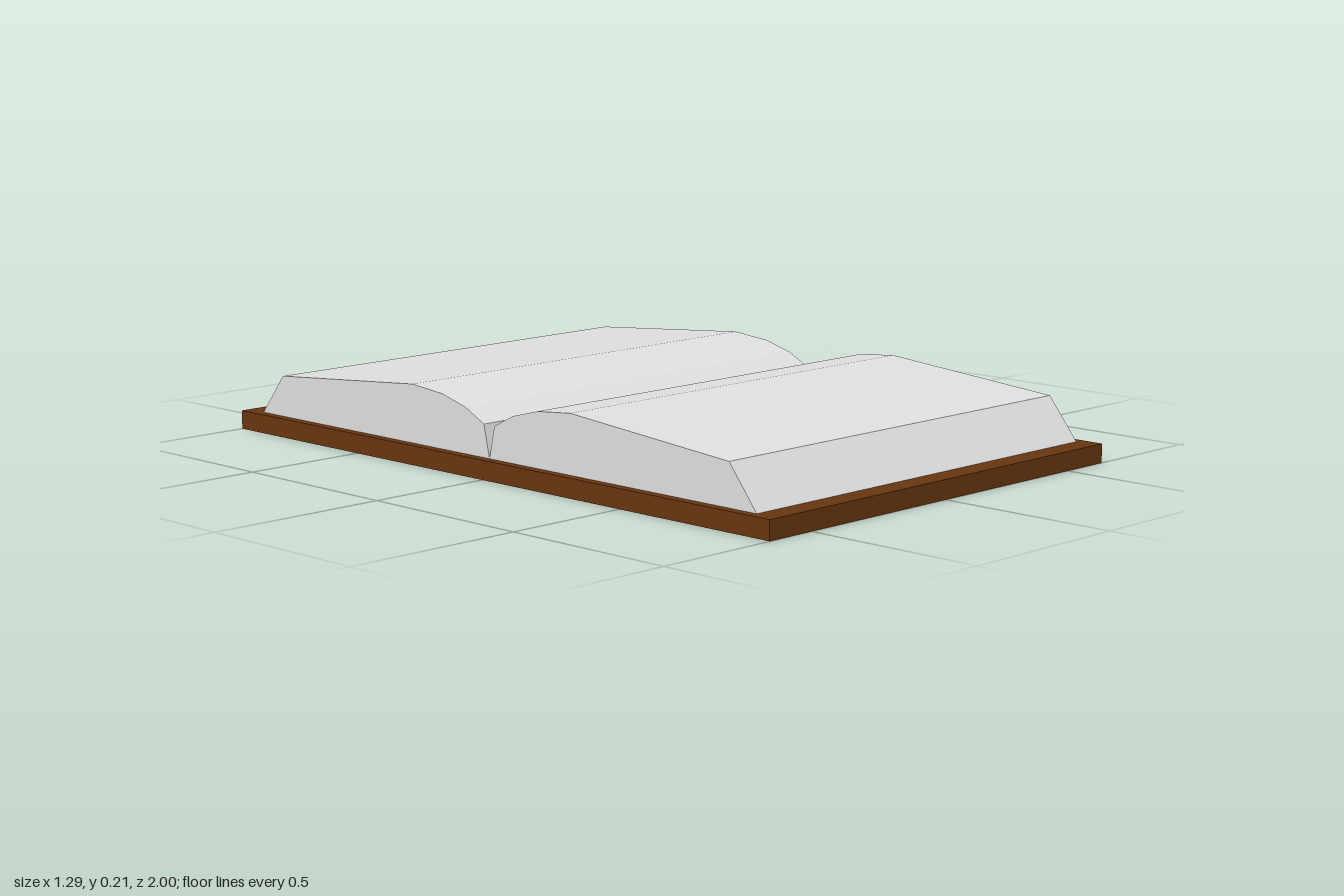
import * as THREE from 'three';

const COVER_W = 1.295, COVER_H = 0.052, COVER_L = 2;
const PAGE_W = 1.244;

// Half cross-section of the page block: distance from the spine, height
const PROFILE = [
  [0, 0.052], [0.02, 0.14], [0.09, 0.175], [0.18, 0.199],
  [0.3, 0.21], [0.845, 0.165], [0.935, 0.052],
];

function pageBlock(side, material, name) {
  const shape = new THREE.Shape(PROFILE.map(([z, y]) => new THREE.Vector2(side * z, y)));
  const geometry = new THREE.ExtrudeGeometry(shape, { depth: PAGE_W, bevelEnabled: false });
  geometry.translate(0, 0, -PAGE_W / 2);
  geometry.rotateY(-Math.PI / 2); // profile runs along z, width along x
  const mesh = new THREE.Mesh(geometry, material);
  mesh.name = name;
  return mesh;
}

export function createModel() {
  const leather = new THREE.MeshStandardMaterial({ color: 0x683610 });
  leather.name = 'brown cover';
  const paper = new THREE.MeshStandardMaterial({ color: 0xe0e0e0, flatShading: true });
  paper.name = 'pale paper';

  const book = new THREE.Group();
  book.name = 'openBook';

  // Flat cover board
  const cover = new THREE.Mesh(new THREE.BoxGeometry(COVER_W, COVER_H, COVER_L), leather);
  cover.name = 'cover';
  cover.position.y = COVER_H / 2;
  book.add(cover);

  // Two mirrored page blocks meeting at the spine
  book.add(pageBlock(1, paper, 'frontPages'));
  book.add(pageBlock(-1, paper, 'backPages'));
  return book;
}
